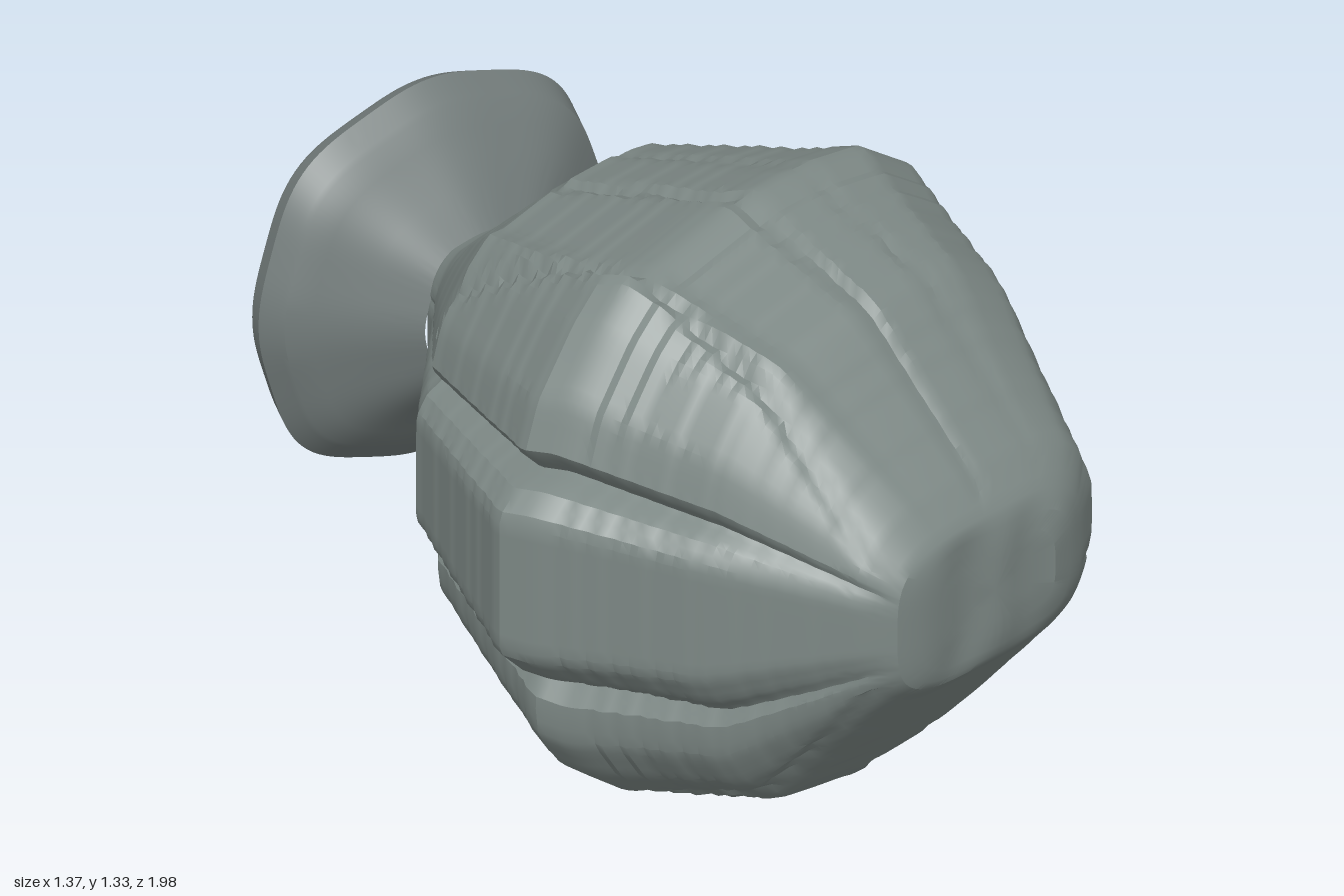
import * as THREE from 'three';
import { toCreasedNormals } from 'three/addons/utils/BufferGeometryUtils.js';

const SIDES = 160;

// Skin a list of closed counter-clockwise rings ordered from back to front
function loft(rings) {
  const pos = [], index = [];
  for (const ring of rings) for (const p of ring) pos.push(...p);
  for (let i = 0; i < rings.length - 1; i++) {
    for (let j = 0; j < SIDES; j++) {
      const k = (j + 1) % SIDES;
      const a = i * SIDES + j, b = i * SIDES + k, c = a + SIDES, d = b + SIDES;
      index.push(a, b, d, a, d, c);
    }
  }
  const g = new THREE.BufferGeometry();
  g.setAttribute('position', new THREE.Float32BufferAttribute(pos, 3));
  g.setIndex(index);
  return toCreasedNormals(g, 0.4);
}

// Linear interpolation of a row in a table sorted by its first column
function sample(keys, t) {
  let i = 0;
  while (i < keys.length - 2 && t > keys[i + 1][0]) i++;
  const f = (t - keys[i][0]) / (keys[i + 1][0] - keys[i][0]);
  return keys[i].map((v, n) => THREE.MathUtils.lerp(v, keys[i + 1][n], f));
}

function superellipse(angle, n) {
  const c = Math.cos(angle), s = Math.sin(angle);
  const r = (Math.abs(c) ** n + Math.abs(s) ** n) ** (-1 / n);
  return [r * c, r * s];
}

// Lobed outline at the widest section: broad top and bottom, a padded band at each side
const OUTLINE = [
  [0.69, 0.7], [0.69, 0.86], [0.64, 0.91], [0.57, 0.95], [0.53, 0.95], [0.55, 1.03],
  [0.5, 1.2], [0.34, 1.31], [0.17, 1.34], [-0.05, 1.34], [-0.3, 1.29], [-0.37, 1.3],
  [-0.46, 1.22], [-0.57, 1.08], [-0.61, 0.97], [-0.55, 0.91], [-0.63, 0.9], [-0.69, 0.85],
  [-0.69, 0.52], [-0.61, 0.44], [-0.54, 0.42], [-0.58, 0.36], [-0.57, 0.27], [-0.5, 0.17],
  [-0.35, 0.06], [-0.12, 0.02], [-0.05, 0], [0.02, 0.02], [0.2, 0.03], [0.45, 0.08],
  [0.53, 0.18], [0.55, 0.3], [0.6, 0.4], [0.55, 0.44], [0.62, 0.45], [0.69, 0.53],
];

function outlinePoints() {
  const path = new THREE.CurvePath();
  OUTLINE.forEach((p, i) => path.add(new THREE.LineCurve(
    new THREE.Vector2(...p), new THREE.Vector2(...OUTLINE[(i + 1) % OUTLINE.length]))));
  return Array.from({ length: SIDES }, (_, j) => {
    const p = path.getPoint(j / SIDES);
    return [p.x / 0.69, (p.y - 0.67) / 0.67];
  });
}

// z, left and right x, bottom and top y, roundness of the section
const BODY = [
  [-0.64, 0.0, 0.33, 0.51, 0.84, 0.8],
  [-0.6, -0.03, 0.34, 0.49, 0.86, 0.7],
  [-0.25, -0.46, 0.5, 0.18, 1.18, 0.2],
  [0.18, -0.69, 0.66, 0.02, 1.32, 0],
  [0.25, -0.67, 0.69, 0, 1.34, 0],
  [0.6, -0.53, 0.52, 0.12, 1.22, 0.3],
  [0.9, -0.36, 0.34, 0.47, 0.93, 0.8],
  [0.95, -0.31, 0.25, 0.52, 0.87, 1],
];

// Straight grooves running fore and aft over the top and bottom
const GROOVES = [[-0.33, 0.035], [-0.02, 0.03], [0.16, 0.012]];

function bodyRing(z, unit) {
  const [, x0, x1, y0, y1, round] = sample(BODY, z);
  const step = 1 - 0.012 * ((((z - 0.24) * 22) % 1 + 1) % 1) * (Math.abs(z - 0.24) > 0.05 ? 1 : 0);
  return unit.map(([u, v]) => {
    const [su, sv] = superellipse(Math.atan2(v, u), 3.5);
    const a = THREE.MathUtils.lerp(u, su, round) * step;
    let b = THREE.MathUtils.lerp(v, sv, round) * step;
    const x = (x0 + x1) / 2 + a * (x1 - x0) / 2;
    for (const [gx, depth] of GROOVES) {
      if (Math.abs(b) > 0.6 && z < 0.92) b -= Math.sign(b) * depth * Math.exp(-(((x - gx) / 0.016) ** 2));
    }
    return [x, (y0 + y1) / 2 + b * (y1 - y0) / 2, z];
  });
}

function bodyGeometry() {
  const unit = outlinePoints();
  const rings = [];
  for (let i = 0; i <= 90; i++) rings.push(bodyRing(-0.64 + 1.59 * i / 90, unit));
  // Blunt nose with soft upright ribs
  const edge = rings[rings.length - 1];
  for (const s of [0.92, 0.8, 0.6, 0.4, 0.2, 0]) {
    rings.push(edge.map(([x, y]) => {
      const px = -0.03 + (x + 0.03) * s, py = 0.695 + (y - 0.695) * s;
      const rib = 0.035 * Math.exp(-(((px - 0.15) / 0.07) ** 2)) + 0.01 * Math.cos(px * 28);
      return [px, py, 0.953 + (1 - s ** 6) * (0.008 + rib * (1 - s ** 4))];
    }));
  }
  return loft(rings);
}

// z, centre x, half width, half height; ordered from the back face to the neck
const TAIL = [
  [-0.935, 0.22, 0.32, 0.3],
  [-0.915, 0.22, 0.36, 0.35],
  [-0.86, 0.21, 0.41, 0.41],
  [-0.82, 0.2, 0.42, 0.43],
  [-0.77, 0.2, 0.4, 0.38],
  [-0.61, 0.165, 0.175, 0.17],
];

function tailGeometry() {
  const ring = (z, cx, hx, hy, rib = 0) => Array.from({ length: SIDES }, (_, j) => {
    const t = j / SIDES * Math.PI * 2;
    const [u, v] = superellipse(t, 2.3);
    const wobble = 1 + 0.015 * Math.cos(8 * t);
    const x = cx + u * hx * wobble;
    // Tilted so its right edge trails further back
    const tilt = 0.19 * (x - 0.2) * Math.min(1, (hx || 1) / 0.3);
    return [x, 0.675 + v * hy * wobble, z + (rib ? 0.19 * (x - 0.2) : tilt) - rib * (0.5 + 0.5 * Math.cos((x - 0.2) * 32))];
  });
  const rings = [0, 0.2, 0.4, 0.6, 0.75, 0.9].map((s) =>
    ring(-0.937 - 0.012 * (1 - s * s), 0.22, 0.32 * s, 0.3 * s, 0.022 * (1 - s ** 4) + 0.001));
  for (let i = 0; i < TAIL.length - 1; i++) {
    for (let k = 0; k < 5; k++) {
      const [z, cx, hx, hy] = TAIL[i].map((v, n) => THREE.MathUtils.lerp(v, TAIL[i + 1][n], k / 5));
      rings.push(ring(z, cx, hx, hy));
    }
  }
  rings.push(ring(...TAIL[TAIL.length - 1]));
  return loft(rings);
}

export function createModel() {
  const model = new THREE.Group();
  model.name = 'lobedVessel';
  const parts = [['body', bodyGeometry(), 0x7d8885], ['flaredTail', tailGeometry(), 0x737c7b]];
  for (const [name, geometry, color] of parts) {
    const mesh = new THREE.Mesh(geometry, new THREE.MeshStandardMaterial({ color }));
    mesh.name = name;
    model.add(mesh);
  }
  return model;
}
